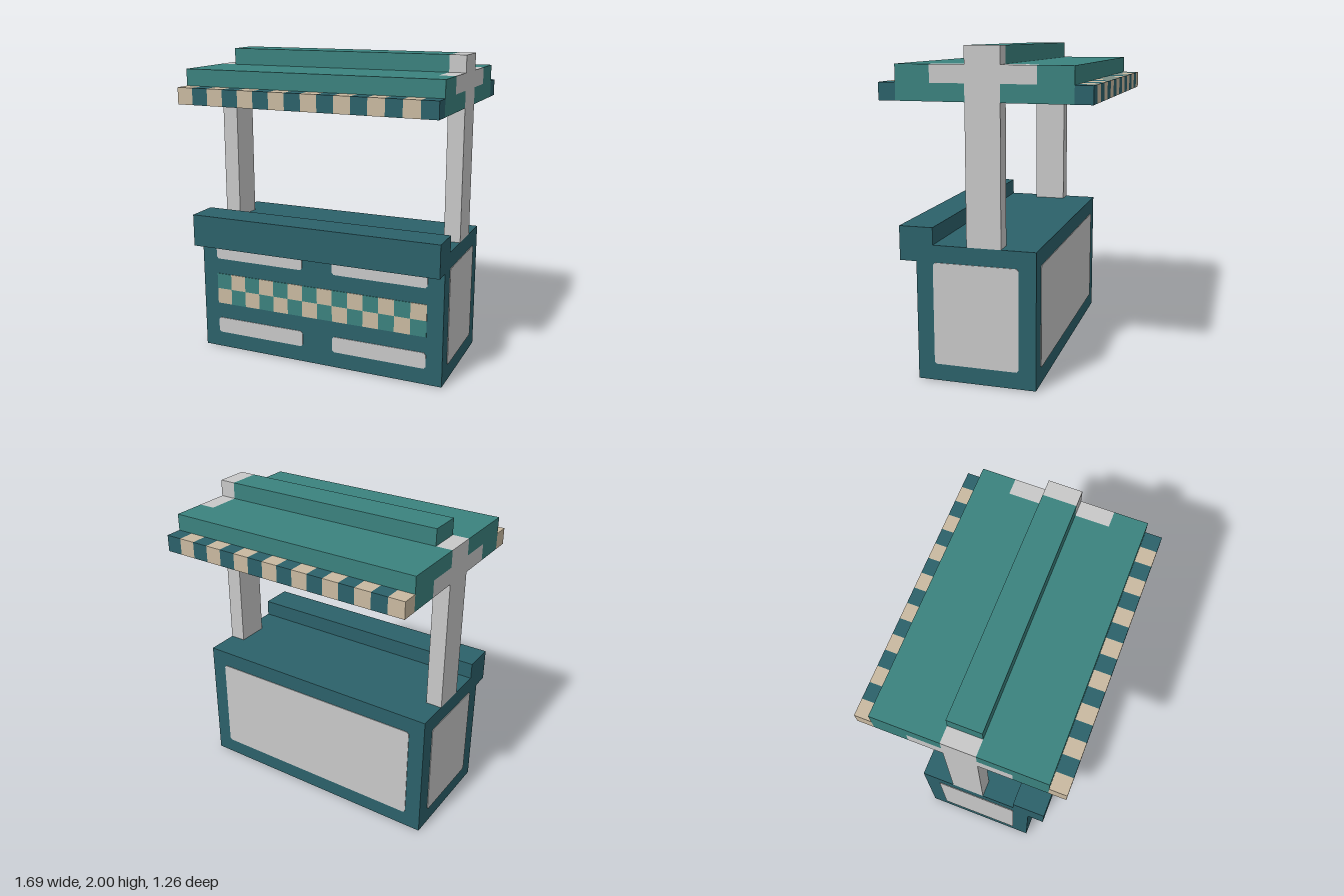
import * as THREE from 'three';

const U = 2 / 19; // one block
const mat = (name, color) => {
  const m = new THREE.MeshStandardMaterial({ color });
  m.name = name;
  return m;
};

export function createModel() {
  const group = new THREE.Group();
  const teal = mat('teal', 0x3b827e);
  const darkTeal = mat('darkTeal', 0x2c616a);
  const beige = mat('beige', 0xc9b9a0);
  const grey = mat('lightGrey', 0xc8c8c8);

  const add = (name, geometry, material) => {
    const mesh = new THREE.Mesh(geometry, material);
    mesh.name = name;
    group.add(mesh);
    return mesh;
  };

  // Box given by its two corners, in blocks
  const box = (name, material, x0, x1, y0, y1, z0, z1) => {
    const g = new THREE.BoxGeometry((x1 - x0) * U, (y1 - y0) * U, (z1 - z0) * U);
    g.translate(((x0 + x1) / 2) * U, ((y0 + y1) / 2) * U, ((z0 + z1) / 2) * U);
    return add(name, g, material);
  };

  // Thin painted panel with clipped corners, w by h blocks, facing +z before rotation
  const panel = (name, material, w, h, pos, rot = [0, 0, 0]) => {
    const a = (w * U) / 2, b = (h * U) / 2, c = 0.013;
    const shape = new THREE.Shape([
      [-a + c, -b], [a - c, -b], [a, -b + c], [a, b - c],
      [a - c, b], [-a + c, b], [-a, b - c], [-a, -b + c],
    ].map(([x, y]) => new THREE.Vector2(x, y)));
    const g = new THREE.ExtrudeGeometry(shape, { depth: 0.004, bevelEnabled: false });
    const mesh = add(name, g, material);
    mesh.position.set(pos[0] * U, pos[1] * U, pos[2] * U);
    mesh.rotation.set(...rot);
  };

  // Stand body with the overhanging counter, as one side profile (z, y)
  const profile = new THREE.Shape([
    [4, 0], [-3, 0], [-3, 8], [3, 8], [3, 9], [5, 9], [5, 7], [4, 7],
  ].map(([z, y]) => new THREE.Vector2(-z * U, y * U)));
  const body = new THREE.ExtrudeGeometry(profile, { depth: 16 * U, bevelEnabled: false });
  body.translate(0, 0, -8 * U);
  body.rotateY(Math.PI / 2);
  add('counterBody', body, darkTeal);

  // Panels on the sides, back and underside
  for (const s of [-1, 1]) {
    panel('sidePanel', grey, 5, 6, [s * 8, 4, 0.5], [0, (s * Math.PI) / 2, 0]);
    for (const y of [1.5, 6.5]) panel('frontPanel', grey, 6, 1, [s * 4, y, 4]);
  }
  panel('backPanel', grey, 14, 6, [0, 4, -3], [0, Math.PI, 0]);
  panel('bottomPanel', grey, 14, 5, [0, 0, 0.5], [Math.PI / 2, 0, 0]);

  // Chequered band on the front
  for (let row = 0; row < 2; row++) {
    for (let i = 0; i < 14; i++) {
      const m = (i + row) % 2 ? teal : beige;
      const tile = add('checkTile', new THREE.BoxGeometry(U, U, 0.004), m);
      tile.position.set((i - 6.5) * U, (3.5 + row) * U, 4 * U + 0.002);
    }
  }

  // Posts and their cross arms, one step higher on the left side
  box('rightPost', grey, -8, -7, 8, 18, -1, 1);
  box('leftPost', grey, 7, 8, 8, 19, -1, 1);
  for (const s of [-1, 1]) {
    const arm = (name, m, x0, x1, y0, y1, a, b) =>
      box(name, m, x0, x1, y0, y1, Math.min(s * a, s * b), Math.max(s * a, s * b));
    arm('rightArm', grey, -8, -7, 16, 17, 1, 3);
    arm('leftArm', grey, 7, 8, 17, 18, 1, 3);
    // Roof ends around the arms
    arm('roofEnd', teal, -8, -7, 17, 18, 1, 5);
    arm('roofEnd', teal, 7, 8, 17, 18, 3, 5);
    arm('roofRimEnd', teal, -8, -7, 16, 17, 3, 5);
    arm('roofRimEnd', teal, 7, 8, 16, 17, 1, 5);
    // Long rim under the roof
    arm('roofRim', teal, -7, 7, 16, 17, 4, 5);
    // Striped awning edge
    for (let i = 0; i < 16; i++) {
      arm('awningStripe', i % 2 ? darkTeal : beige, i - 8, i - 7, 16, 17, 5, 6);
    }
  }

  // Roof slab and ridge
  box('roof', teal, -7, 7, 17, 18, -5, 5);
  box('roofRidge', teal, -7, 7, 18, 19, -1, 1);

  return group;
}
